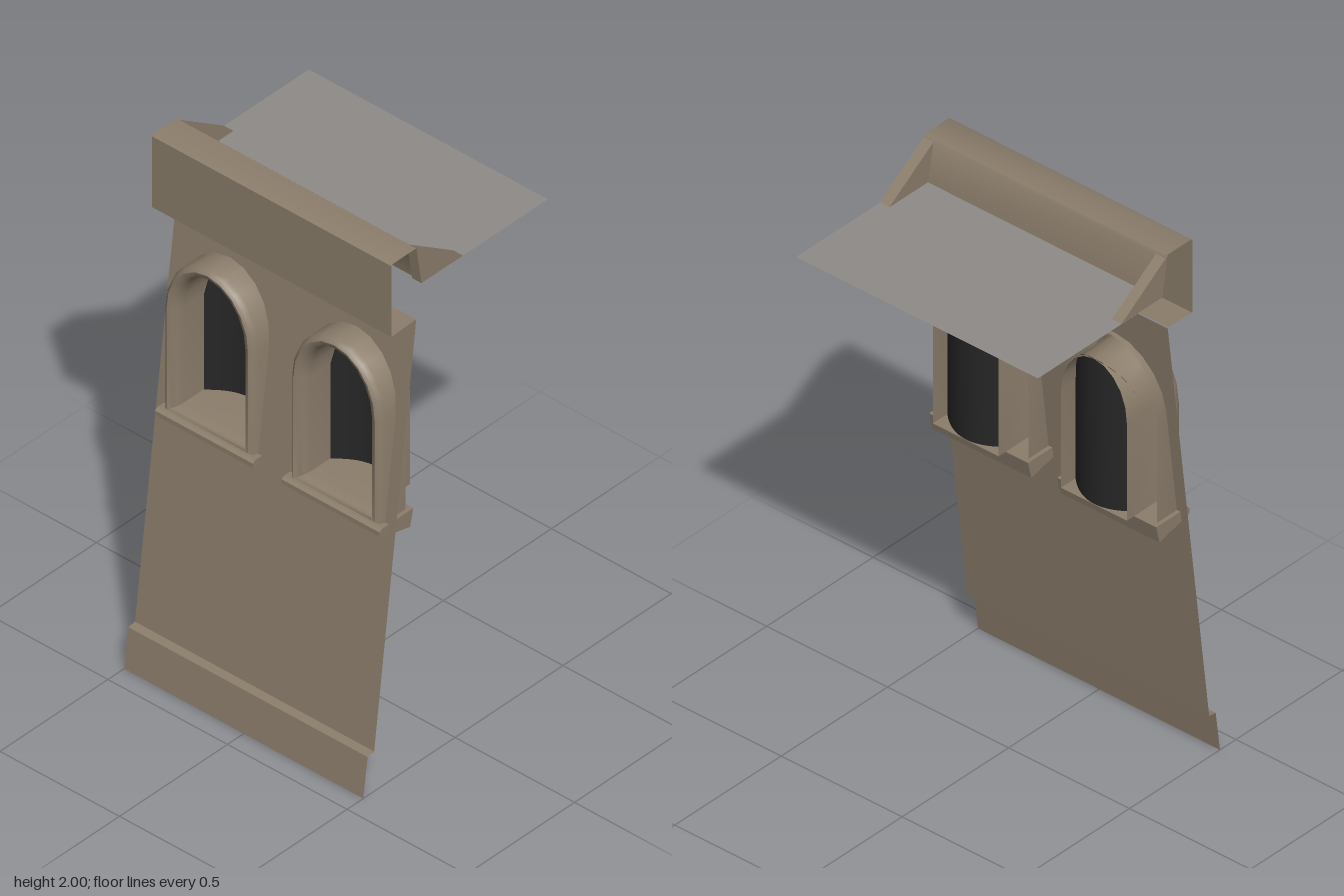
import * as THREE from 'three';
import { toCreasedNormals } from 'three/addons/utils/BufferGeometryUtils.js';

const stone = new THREE.MeshStandardMaterial({ color: 0x8b7d6b, side: THREE.DoubleSide });
stone.name = 'stone';
const roofGrey = new THREE.MeshStandardMaterial({ color: 0x8e8a87, side: THREE.DoubleSide });
roofGrey.name = 'roof grey';
const darkPane = new THREE.MeshStandardMaterial({ color: 0x262626, side: THREE.DoubleSide });
darkPane.name = 'dark pane';

const HALF = 0.5;
const WINDOW_X = 0.265;
const OUTER = { w: 0.19, bottom: 0.96, spring: 1.36, top: 1.59 };
const INNER = { w: 0.136, bottom: 0.99, spring: 1.36, top: 1.54 };

function mesh(name, geometry, material) {
  const m = new THREE.Mesh(geometry, material);
  m.name = name;
  return m;
}

// Depth of the leaning wall at a given height
const wallZ = (y) => 0.375 - (y - 0.15) * (0.195 / 1.57);

// Counter-clockwise arched outline, starting at the lower left corner
function arch({ w, bottom, spring, top }, steps = 10) {
  const pts = [new THREE.Vector2(-w, bottom), new THREE.Vector2(w, bottom)];
  for (let i = 0; i <= steps; i++) {
    const t = (i / steps) * Math.PI;
    pts.push(new THREE.Vector2(w * Math.cos(t), spring + (top - spring) * Math.sin(t)));
  }
  return pts;
}

// Skin between rings of equal point count
function loft(rings, closed) {
  const n = rings[0].length;
  const index = [];
  for (let r = 0; r < rings.length - 1; r++) {
    for (let i = 0; i < (closed ? n : n - 1); i++) {
      const a = r * n + i, b = r * n + ((i + 1) % n);
      index.push(a, b, b + n, a, b + n, a + n);
    }
  }
  const g = new THREE.BufferGeometry();
  g.setAttribute('position', new THREE.Float32BufferAttribute(rings.flat(2), 3));
  g.setIndex(index);
  return toCreasedNormals(g, 0.75);
}

// Sheet spanning the full width, following a [z, y] profile from bottom to top
function ribbon(profile) {
  return loft(profile.map(([z, y]) => [[-HALF, y, z], [HALF, y, z]]), false);
}

// Solid bar along x from a [z, y] section
function bar(section, width) {
  const shape = new THREE.Shape(section.map(([z, y]) => new THREE.Vector2(-z, y)));
  const g = new THREE.ExtrudeGeometry(shape, { depth: width, bevelEnabled: false });
  g.translate(0, 0, -width / 2);
  g.rotateY(Math.PI / 2);
  return g;
}

function wallPanel() {
  const shape = new THREE.Shape([
    new THREE.Vector2(-HALF, 0.15), new THREE.Vector2(HALF, 0.15),
    new THREE.Vector2(HALF, 1.72), new THREE.Vector2(-HALF, 1.72),
  ]);
  for (const side of [-1, 1]) {
    shape.holes.push(new THREE.Path(arch(OUTER).map((p) => new THREE.Vector2(p.x + side * WINDOW_X, p.y))));
  }
  const g = new THREE.ShapeGeometry(shape);
  const pos = g.attributes.position;
  for (let i = 0; i < pos.count; i++) pos.setZ(i, wallZ(pos.getY(i)));
  g.computeVertexNormals();
  return g;
}

// Rounded moulding running from the outer edge over the front and into the reveal
function windowFrame() {
  const outer = arch(OUTER), inner = arch(INNER);
  const section = [[0, 0.18], [0, 0.272], [0.12, 0.29], [0.35, 0.3], [0.65, 0.295], [0.88, 0.28], [1, 0.26], [1, 0.1]];
  return loft(section.map(([t, z]) => outer.map((p, i) => {
    const q = p.clone().lerp(inner[i], t);
    return [q.x, q.y, z];
  })), true);
}

// Arched pane bowed towards the back
function windowPane() {
  const g = new THREE.PlaneGeometry(2, 1, 20, 1);
  const pos = g.attributes.position;
  for (let i = 0; i < pos.count; i++) {
    const u = pos.getX(i);
    const rise = Math.sqrt(Math.max(0, 1 - u * u));
    const y = pos.getY(i) > 0 ? INNER.spring + (INNER.top - INNER.spring) * rise : INNER.bottom;
    pos.setXYZ(i, u * INNER.w * 0.99, y, 0.102 + 0.065 * u * u);
  }
  g.computeVertexNormals();
  return g;
}

export function createModel() {
  const model = new THREE.Group();
  model.name = 'wallSection';

  // Wall, plinth and parapet sheets
  model.add(mesh('wall', wallPanel(), stone));
  model.add(mesh('plinth', ribbon([[0.425, 0], [0.405, 0.15], [0.375, 0.155]]), stone));
  model.add(mesh('parapet', ribbon([
    [0.18, 1.725], [0.295, 1.72], [0.295, 1.995], [0.288, 2], [0.18, 2], [0.17, 1.99], [0.145, 1.85],
  ]), stone));

  // Flat roof behind the parapet
  model.add(mesh('roof', ribbon([[0.145, 1.85], [-0.43, 1.85]]), roofGrey));

  for (const side of [-1, 1]) {
    // Triangular brace between parapet and roof
    const brace = mesh('parapetBrace', bar([[0.178, 1.995], [0.155, 1.851], [-0.037, 1.851]], 0.04), stone);
    brace.position.x = side * 0.48;
    model.add(brace);

    // Arched window with sill
    const win = new THREE.Group();
    win.name = side > 0 ? 'leftWindow' : 'rightWindow';
    win.position.x = side * WINDOW_X;
    win.add(mesh('frame', windowFrame(), stone));
    win.add(mesh('pane', windowPane(), darkPane));
    win.add(mesh('sill', bar([
      [0.16, 0.965], [0.305, 0.965], [0.316, 0.957], [0.316, 0.94], [0.308, 0.934], [0.175, 0.9],
    ], 0.41), stone));
    model.add(win);
  }
  return model;
}
